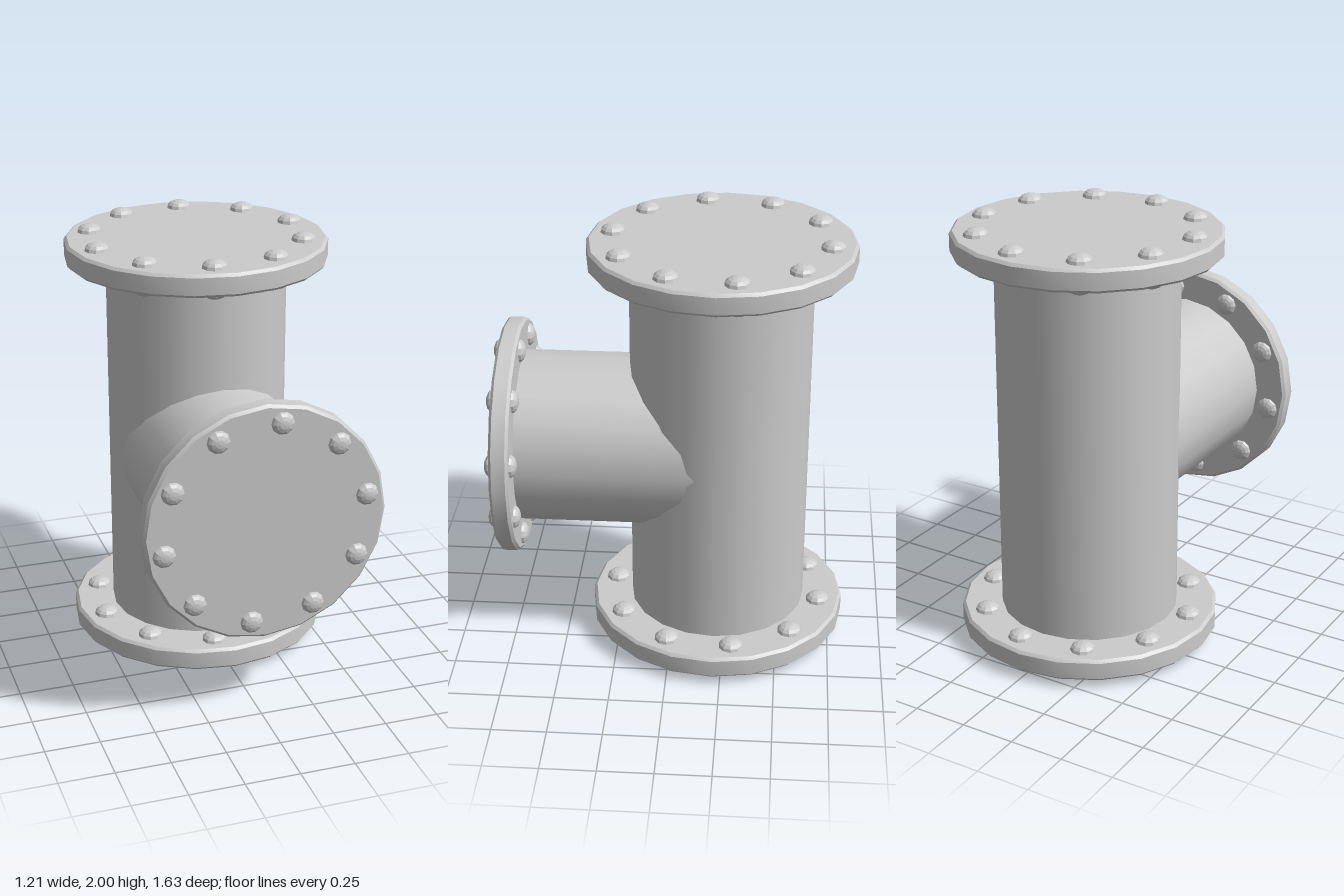
import * as THREE from 'three';
import { toCreasedNormals } from 'three/addons/utils/BufferGeometryUtils.js';

const SIDES = 20;
const BOLTS = 10;
const BOLT_PHASE = THREE.MathUtils.degToRad(8);

const metal = new THREE.MeshStandardMaterial({ color: 0xcccccc });
const boltMetal = new THREE.MeshStandardMaterial({ color: 0xcccccc, flatShading: true });

function addMesh(parent, name, geometry, material = metal) {
  const mesh = new THREE.Mesh(geometry, material);
  mesh.name = name;
  parent.add(mesh);
  return mesh;
}

// Straight pipe section running along y from y0 to y1
function pipe(parent, name, radius, y0, y1) {
  const geometry = new THREE.CylinderGeometry(radius, radius, y1 - y0, SIDES, 1, true);
  addMesh(parent, name, geometry).position.y = (y0 + y1) / 2;
}

// Closed disc with chamfered rims and a ring of domed bolt heads on both faces
function flange(name, { radius, thickness, boltCircle, boltRadius, boltHeight }) {
  const group = new THREE.Group();
  group.name = name;
  const h = thickness / 2;
  const c = 0.013;
  const profile = [
    [0, -h], [radius - c, -h], [radius, -h + c],
    [radius, h - c], [radius - c, h], [0, h],
  ].map(([x, y]) => new THREE.Vector2(x, y));
  const disc = new THREE.LatheGeometry(profile, SIDES);
  addMesh(group, 'flangeDisc', toCreasedNormals(disc, Math.PI / 6));

  const dome = new THREE.SphereGeometry(boltRadius, 10, 4, 0, Math.PI * 2, 0, Math.PI / 2);
  dome.scale(1, boltHeight / boltRadius, 1);
  for (let i = 0; i < BOLTS; i++) {
    const a = BOLT_PHASE + (i * Math.PI * 2) / BOLTS;
    for (const side of [1, -1]) {
      const bolt = addMesh(group, 'boltHead', dome, boltMetal);
      bolt.position.set(Math.sin(a) * boltCircle, side * h, -Math.cos(a) * boltCircle);
      if (side < 0) bolt.rotation.x = Math.PI;
    }
  }
  return group;
}

export function createModel() {
  const model = new THREE.Group();
  model.name = 'pipeTee';

  // Vertical main run with a flange at each end
  const mainRun = new THREE.Group();
  mainRun.name = 'mainRun';
  mainRun.position.z = -0.212;
  pipe(mainRun, 'mainPipe', 0.415, 0.09, 1.91);
  const mainSize = {
    radius: 0.603, thickness: 0.104, boltCircle: 0.493, boltRadius: 0.058, boltHeight: 0.037,
  };
  for (const [name, y] of [['bottomFlange', 0.089], ['topFlange', 1.911]]) {
    const end = flange(name, mainSize);
    end.position.y = y;
    mainRun.add(end);
  }
  model.add(mainRun);

  // Side branch, built along y and tipped forward to +z
  const branch = new THREE.Group();
  branch.name = 'sideBranch';
  branch.position.y = 0.963;
  branch.rotation.x = Math.PI / 2;
  pipe(branch, 'branchPipe', 0.4, -0.21, 0.74);
  const branchEnd = flange('branchFlange', {
    radius: 0.55, thickness: 0.088, boltCircle: 0.466, boltRadius: 0.052, boltHeight: 0.029,
  });
  branchEnd.position.y = 0.742;
  branch.add(branchEnd);
  model.add(branch);

  return model;
}
